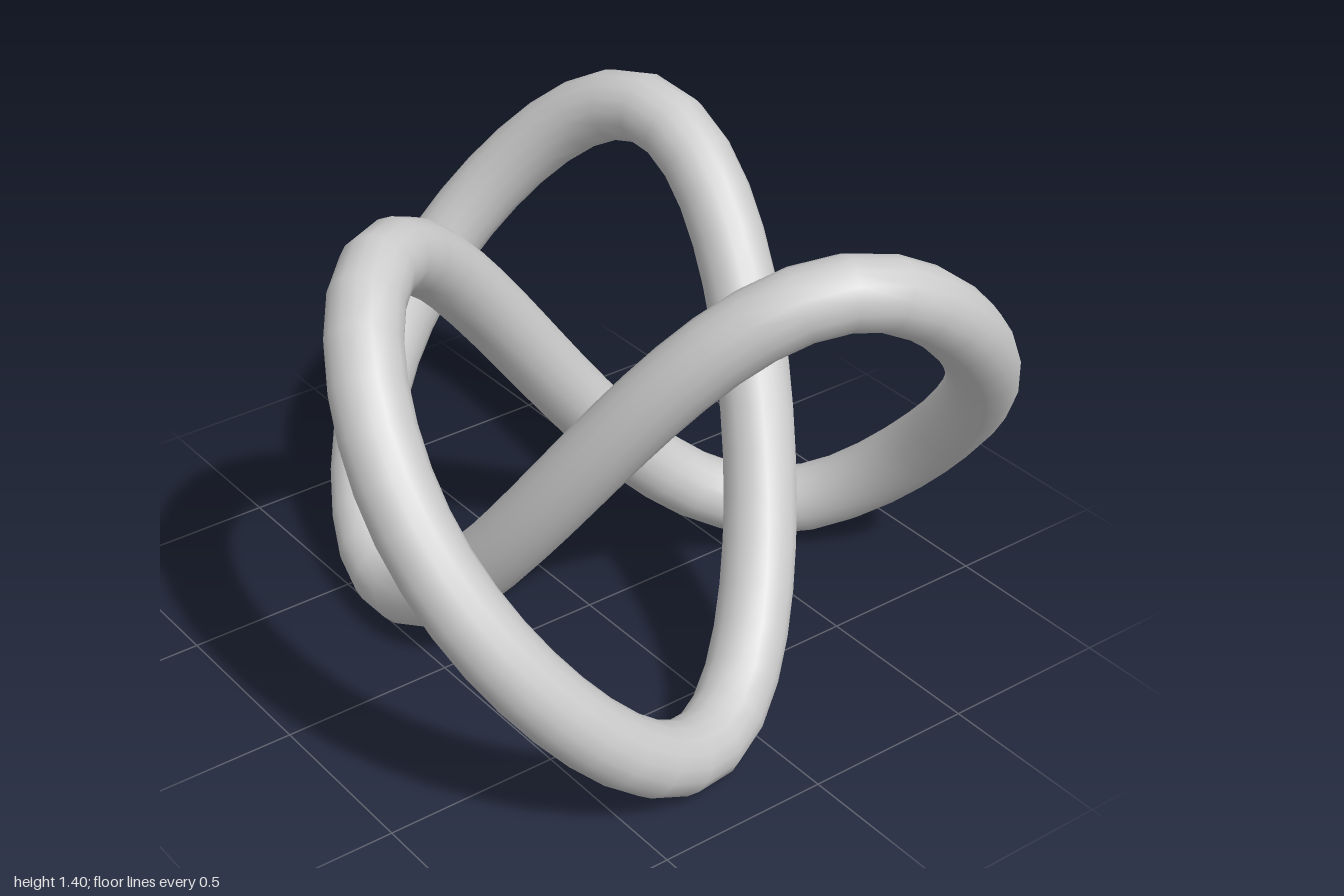
import * as THREE from 'three';

// Closed trefoil centreline: two counter-rotating circles, rising and falling three times
class TrefoilCurve extends THREE.Curve {
  getPoint(u, target = new THREE.Vector3()) {
    const t = u * Math.PI * 2;
    const A = 0.673, B = 0.303;
    return target.set(
      0.143 + B * Math.cos(t) - A * Math.cos(2 * t),
      0.7 + 0.583 * (Math.sin(3 * t) + 0.131 * Math.sin(6 * t)),
      A * Math.sin(2 * t) + B * Math.sin(t)
    );
  }
}

export function createModel() {
  const group = new THREE.Group();
  group.name = 'trefoilKnot';

  // Round tube swept along the knot
  const tube = new THREE.Mesh(
    new THREE.TubeGeometry(new TrefoilCurve(), 96, 0.1, 16, true),
    new THREE.MeshStandardMaterial({ color: 0xcccccc })
  );
  tube.name = 'knotTube';
  group.add(tube);

  return group;
}
